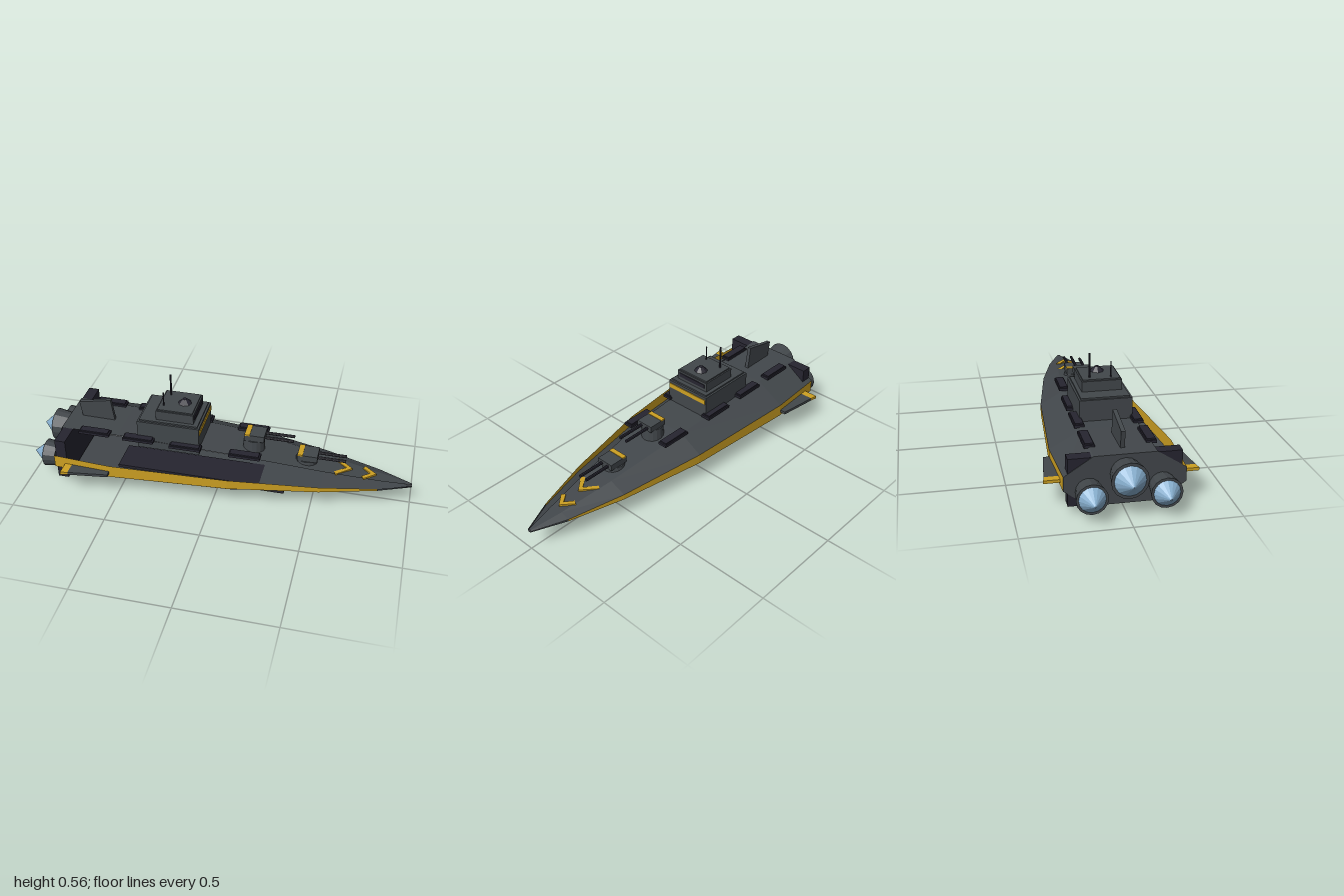
import * as THREE from 'three';

const mat = (name, color, side = THREE.FrontSide) =>
  Object.assign(new THREE.MeshStandardMaterial({ color, side, flatShading: true }), { name });

export function createModel() {
  const ship = new THREE.Group();
  ship.name = 'spaceBattleship';
  const grey = mat('hullGrey', 0x42474b, THREE.DoubleSide);
  const dark = mat('darkPlating', 0x262530);
  const gold = mat('goldTrim', 0xcda022, THREE.DoubleSide);
  const glow = mat('engineGlow', 0x88b0d0);

  const add = (name, geo, m, x = 0, y = 0, z = 0, parent = ship) => {
    const mesh = new THREE.Mesh(geo, m);
    mesh.name = name;
    mesh.position.set(x, y, z);
    parent.add(mesh);
    return mesh;
  };
  // Box given by its lower and upper limits
  const box = (name, m, [x0, x1], [y0, y1], [z0, z1], parent = ship) =>
    add(name, new THREE.BoxGeometry(x1 - x0, y1 - y0, z1 - z0), m,
      (x0 + x1) / 2, (y0 + y1) / 2, (z0 + z1) / 2, parent);
  // Flat plate from an outline of [x, z] points, lying at height y
  const plate = (name, m, pts, y, h) => {
    const s = new THREE.Shape(pts.map(([x, z]) => new THREE.Vector2(x, -z)));
    const g = new THREE.ExtrudeGeometry(s, { depth: h, bevelEnabled: false });
    return add(name, g.rotateX(-Math.PI / 2), m, 0, y, 0);
  };

  // Hull stations: x, deck half width, deck y, beam, band top y, band bottom y, floor half width, floor y
  const stations = [
    [-0.84, 0.145, 0.275, 0.28, 0.187, 0.118, 0.165, 0.035],
    [-0.53, 0.14, 0.27, 0.295, 0.182, 0.114, 0.175, 0.02],
    [0.08, 0.12, 0.235, 0.246, 0.163, 0.11, 0.145, 0.026],
    [0.54, 0.075, 0.175, 0.163, 0.138, 0.109, 0.09, 0.06],
    [0.83, 0.035, 0.137, 0.083, 0.121, 0.11, 0.045, 0.09],
    [1.0, 0.006, 0.119, 0.011, 0.115, 0.109, 0.006, 0.104],
  ];
  const rings = stations.map(([x, t, yt, b, yu, yl, k, yk]) => [
    [x, yt, -t], [x, yt, t], [x, yu, b], [x, yl, b],
    [x, yk, k], [x, yk, -k], [x, yl, -b], [x, yu, -b],
  ]);
  const surface = (name, quads, m) => {
    const g = new THREE.BufferGeometry();
    const pos = quads.flatMap(([a, b, c, d]) => [a, b, c, a, c, d]).flat();
    g.setAttribute('position', new THREE.Float32BufferAttribute(pos, 3));
    g.computeVertexNormals();
    return add(name, g, m);
  };
  // Side strips; strip 1, the port upper flank, is open to the interior
  const strips = { deck: 0, leftBand: 2, leftBilge: 3, floor: 4, rightBilge: 5, rightBand: 6, rightFlank: 7 };
  for (const [name, i] of Object.entries(strips)) {
    const j = (i + 1) % 8;
    const quads = rings.slice(1).map((r, n) => [rings[n][i], rings[n][j], r[j], r[i]]);
    if (name.endsWith('Band')) {
      surface(name, quads.slice(0, 4), gold);
      surface(name + 'Bow', quads.slice(4), grey);
    } else surface(name, quads, grey);
  }
  // Stern and bow caps
  const capQuads = (r) => [[r[0], r[7], r[2], r[1]], [r[7], r[6], r[3], r[2]], [r[6], r[5], r[4], r[3]]];
  surface('sternCap', capQuads(rings[0]), grey);
  surface('bowCap', capQuads(rings[5]).map((q) => q.slice().reverse()), grey);

  box('transomBlock', dark, [-0.837, -0.78], [0.04, 0.27], [-0.26, 0.26]);
  box('keel', dark, [-0.56, 0.345], [0.006, 0.036], [-0.09, 0.09]);
  box('keelPlate', dark, [-0.555, 0.35], [0, 0.03], [-0.085, 0.085]);

  // Bridge tower
  box('towerBase', grey, [-0.425, -0.095], [0.21, 0.37], [-0.13, 0.13]);
  box('towerStep', grey, [-0.415, -0.105], [0.37, 0.378], [-0.12, 0.12]);
  box('bridge', grey, [-0.33, -0.13], [0.378, 0.43], [-0.1, 0.1]);
  box('bridgeRoof', grey, [-0.323, -0.137], [0.43, 0.437], [-0.093, 0.093]);
  box('bridgeWindow', dark, [-0.131, -0.126], [0.396, 0.418], [-0.086, 0.086]);
  box('towerStripe', gold, [-0.096, -0.091], [0.329, 0.354], [-0.124, 0.124]);
  add('sensorDome', new THREE.CylinderGeometry(0.011, 0.036, 0.025, 8), dark, -0.2, 0.449, 0);
  add('tallMast', new THREE.CylinderGeometry(0.005, 0.005, 0.125, 6), dark, -0.29, 0.4975, -0.055);
  add('shortMast', new THREE.CylinderGeometry(0.0035, 0.0035, 0.08, 6), dark, -0.3, 0.475, 0.05);

  // Twin gun turrets: centre x, barrel-house base y, barrel tip x
  const turret = (x, y, baseY, tip) => {
    const g = new THREE.Group();
    g.name = 'gunTurret';
    ship.add(g);
    add('turretBase', new THREE.CylinderGeometry(0.055, 0.06, y - baseY, 16), grey, x, (y + baseY) / 2, 0, g);
    box('turretHouse', grey, [x - 0.045, x + 0.06], [y, y + 0.034], [-0.047, 0.047], g);
    box('turretStripe', gold, [x - 0.042, x - 0.017], [y + 0.03, y + 0.037], [-0.0475, 0.0475], g);
    for (const z of [-0.021, 0.021]) {
      const len = tip - x - 0.05;
      const barrel = add('gunBarrel', new THREE.CylinderGeometry(0.008, 0.008, len, 8), dark,
        tip - len / 2, y + 0.017, z, g);
      barrel.rotation.z = Math.PI / 2;
    }
  };
  turret(0.17, 0.284, 0.2, 0.38);
  turret(0.45, 0.203, 0.17, 0.655);

  // Bow chevrons: tip x, half width, height
  for (const [x, w, y] of [[0.69, 0.068, 0.157], [0.815, 0.053, 0.143]]) {
    const d = w * 1.15, t = 0.03;
    plate('bowChevron', gold,
      [[x, 0], [x - d, w], [x - d - t * 0.4, w - 0.02], [x - t, 0], [x - d - t * 0.4, 0.02 - w], [x - d, -w]], y, 0.01);
  }

  // Deck batteries, side fins and outer engines in mirrored pairs
  const batteries = [[-0.655, 0.268, 0.143], [-0.415, 0.264, 0.143], [-0.165, 0.252, 0.138], [0.145, 0.238, 0.122]];
  for (const s of [1, -1]) {
    for (const [x, y, z] of batteries) {
      add('deckBattery', new THREE.BoxGeometry(0.165, 0.014, 0.05), dark, x, y + 0.007, s * z);
      add('batteryCap', new THREE.BoxGeometry(0.15, 0.007, 0.04), dark, x, y + 0.0175, s * z);
    }
    const zs = (pts) => pts.map(([x, z]) => [x, s * z]);
    plate('sideFin', grey, zs([[-0.742, 0.27], [-0.742, 0.352], [-0.535, 0.325], [-0.535, 0.27]]), 0.133, 0.015);
    plate('finTip', gold, zs([[-0.78, 0.27], [-0.78, 0.359], [-0.742, 0.352], [-0.742, 0.27]]), 0.133, 0.015);
  }

  // Tail fin
  const tail = new THREE.Shape(
    [[-0.785, 0.358], [-0.77, 0.26], [-0.59, 0.26], [-0.608, 0.393]].map(([x, y]) => new THREE.Vector2(x, y)));
  add('tailFin', new THREE.ExtrudeGeometry(tail, { depth: 0.02, bevelEnabled: false }), grey, 0, 0, -0.01);

  // Engine nozzles with glowing cones
  for (const [y, z, r] of [[0.187, 0, 0.086], [0.113, 0.167, 0.073], [0.113, -0.167, 0.073]]) {
    add('engineNozzle', new THREE.CylinderGeometry(r, r * 0.8, 0.1, 16), grey, -0.88, y, z).rotation.z = Math.PI / 2;
    add('engineGlow', new THREE.ConeGeometry(r * 0.84, 0.07, 16), glow, -0.965, y, z).rotation.z = Math.PI / 2;
  }
  return ship;
}
